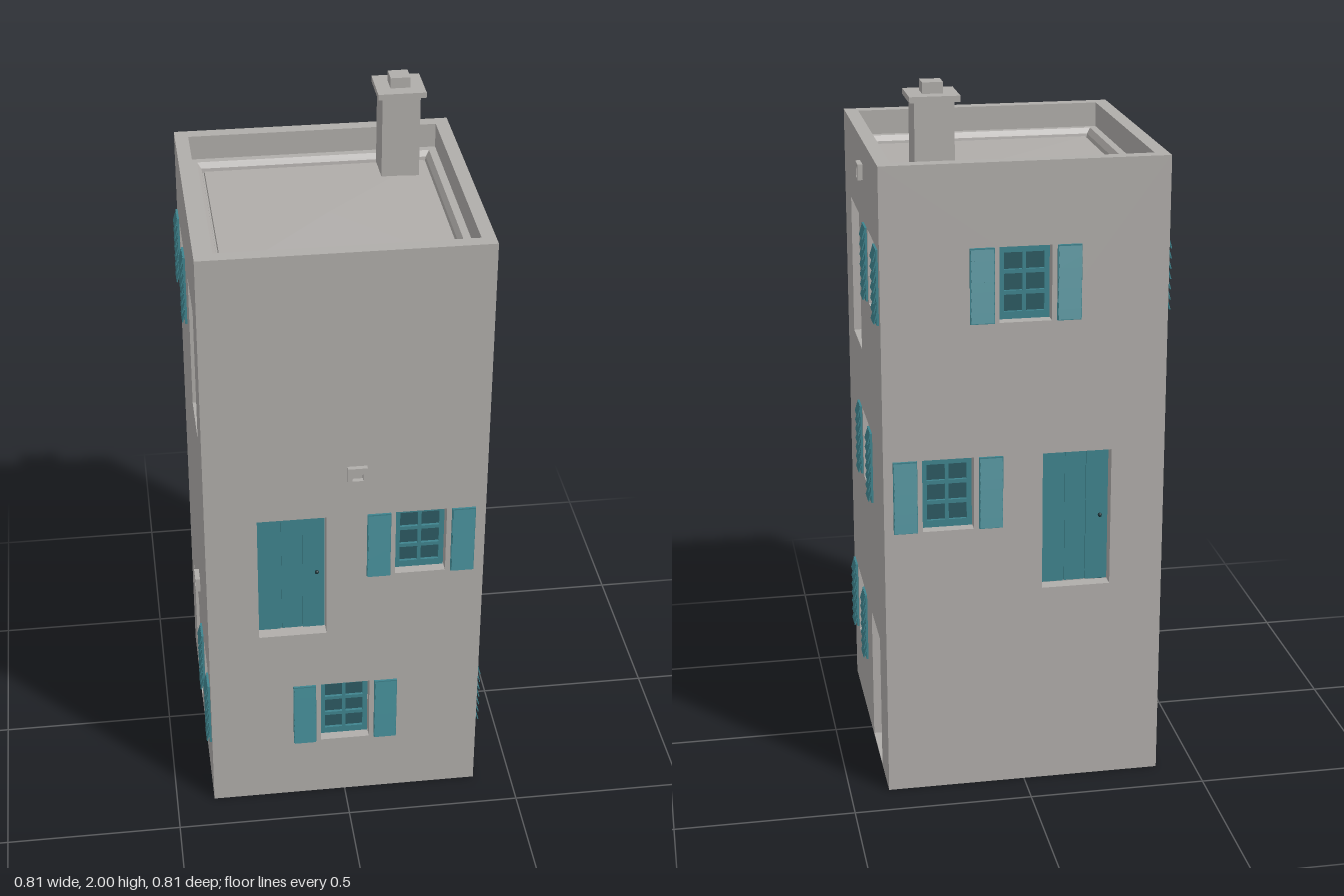
import * as THREE from 'three';

const mat = (name, color) => {
  const m = new THREE.MeshStandardMaterial({ color });
  m.name = name;
  return m;
};

const H = 0.39;        // half width of the tower
const T = 0.038;       // wall thickness
const TOP = 1.805;     // parapet height

export function createModel() {
  const stone = mat('stone', 0xb0adaa);
  const paint = mat('teal paint', 0x3f848e);
  const glass = mat('dark glass', 0x2c5a62);
  const iron = mat('dark iron', 0x1d363b);

  const model = new THREE.Group();
  model.name = 'towerHouse';

  const add = (parent, name, geo, material, x = 0, y = 0, z = 0) => {
    const m = new THREE.Mesh(geo, material);
    m.name = name;
    m.position.set(x, y, z);
    parent.add(m);
    return m;
  };
  const box = (w, h, d) => new THREE.BoxGeometry(w, h, d);
  const rect = (path, x0, y0, x1, y1) => {
    path.moveTo(x0, y0);
    path.lineTo(x1, y0);
    path.lineTo(x1, y1);
    path.lineTo(x0, y1);
    path.closePath();
    return path;
  };
  const extrude = (shape, depth) => new THREE.ExtrudeGeometry(shape, { depth, bevelEnabled: false });

  // Louvred shutter fixed to the wall surface
  const shutter = (x, y) => {
    const g = new THREE.Group();
    g.name = 'shutter';
    g.position.set(x, y, H);
    add(g, 'shutterBack', box(0.066, 0.208, 0.006), paint, 0, 0, 0.003);
    const n = 7;
    for (let i = 0; i < n; i++) {
      const slat = add(g, 'shutterSlat', box(0.062, 0.03, 0.003), paint, 0, (i - (n - 1) / 2) * 0.0285, 0.009);
      slat.rotation.x = -0.28; // lower edge stands out
    }
    return g;
  };

  // Window with two by three panes, and a pair of shutters
  const addWindow = (wall, u, y) => {
    const g = new THREE.Group();
    g.name = 'window';
    const s = rect(new THREE.Shape(), -0.069, -0.102, 0.069, 0.102);
    for (const cx of [-0.03, 0.03])
      for (const cy of [-0.058, 0, 0.058])
        s.holes.push(rect(new THREE.Path(), cx - 0.025, cy - 0.0235, cx + 0.025, cy + 0.0235));
    add(g, 'windowFrame', extrude(s, 0.012), paint, u, y, H - T);
    add(g, 'windowGlass', box(0.136, 0.202, 0.004), glass, u, y, H - T + 0.002);
    g.add(shutter(u - 0.118, y), shutter(u + 0.118, y));
    wall.add(g);
  };

  // Recessed door, boarded or smooth
  const addDoor = (wall, u, y0, smooth) => {
    const g = new THREE.Group();
    g.name = 'door';
    g.position.set(u, y0 + 0.2, H - T);
    add(g, 'doorLeaf', box(0.19, 0.392, 0.006), paint);
    if (!smooth)
      for (const x of [-0.063, 0, 0.063])
        add(g, 'doorBoard', box(x ? 0.062 : 0.054, 0.39, 0.006), paint, x, 0, x ? 0.006 : 0.004);
    add(g, 'doorKnob', new THREE.SphereGeometry(0.006, 10, 8), iron, 0.072, -0.003, 0.012);
    wall.add(g);
  };

  // Small hooded bracket beside the door head
  const addBracket = (wall, u, y) => {
    const s = rect(new THREE.Shape(), -0.027, -0.022, 0.027, 0.022);
    const opening = new THREE.Path();
    opening.moveTo(-0.015, -0.018);
    opening.lineTo(0.015, -0.018);
    opening.lineTo(0.015, 0.004);
    opening.absarc(0, 0.002, 0.013, 0.1, Math.PI - 0.1, false);
    opening.closePath();
    s.holes.push(opening);
    add(wall, 'wallBracket', extrude(s, 0.014), stone, u, y, H);
  };

  // Each wall lists its storeys: 'A' door left, 'B' window only, 'C' door right
  const floors = [0.004, 0.592, 1.177];
  const walls = [
    { name: 'frontWall', turn: 0, rooms: ['B', 'A', ''] },
    { name: 'leftWall', turn: Math.PI / 2, rooms: ['C', 'B', 'A'] },
    { name: 'backWall', turn: Math.PI, rooms: ['', 'C', 'B'] },
    { name: 'rightWall', turn: -Math.PI / 2, rooms: ['A', '', 'C'] },
  ];
  walls.forEach(({ name, turn, rooms }, side) => {
    const wall = new THREE.Group();
    wall.name = name;
    wall.rotation.y = turn;
    const half = side % 2 ? H - T : H;
    const s = rect(new THREE.Shape(), -half, 0, half, TOP);
    rooms.forEach((room, i) => {
      if (!room) return;
      const y0 = floors[i];
      const wy = y0 + 0.296;
      const wu = { A: 0.21, B: 0, C: -0.213 }[room];
      s.holes.push(rect(new THREE.Path(), wu - 0.071, wy - 0.104, wu + 0.071, wy + 0.104));
      addWindow(wall, wu, wy);
      if (room !== 'B') {
        const du = room === 'A' ? -0.15 : 0.145;
        s.holes.push(rect(new THREE.Path(), du - 0.096, y0, du + 0.096, y0 + 0.399));
        addDoor(wall, du, y0, room === 'C' && i === 0);
      }
      if (room === 'A') addBracket(wall, 0.03, y0 + 0.539);
    });
    add(wall, 'wallPanel', extrude(s, T), stone, 0, 0, H - T);
    model.add(wall);
  });

  // Underside
  add(model, 'floorSlab', box(2 * (H - T), 0.004, 2 * (H - T)), stone, 0, 0.002, 0);

  // Sunken roof: ledge, sloped edge, narrow groove and a very low pyramid
  const profile = [[0.353, 1.735], [0.331, 1.735], [0.32, 1.72], [0.318, 1.708], [0.314, 1.708], [0.312, 1.714], [0.0001, 1.724]]
    .map(([r, y]) => new THREE.Vector2(r * Math.SQRT2, y));
  const roof = new THREE.LatheGeometry(profile, 4, Math.PI / 4).toNonIndexed();
  roof.computeVertexNormals();
  add(model, 'roof', roof, stone);

  // Chimney
  const chimney = new THREE.Group();
  chimney.name = 'chimney';
  chimney.position.set(0.23, 0, -0.266);
  add(chimney, 'chimneyShaft', box(0.106, 0.254, 0.106), stone, 0, 1.828, 0);
  add(chimney, 'chimneyCap', box(0.134, 0.016, 0.134), stone, 0, 1.962, 0);
  add(chimney, 'chimneyPot', box(0.055, 0.032, 0.055), stone, 0, 1.984, 0);
  model.add(chimney);

  return model;
}
